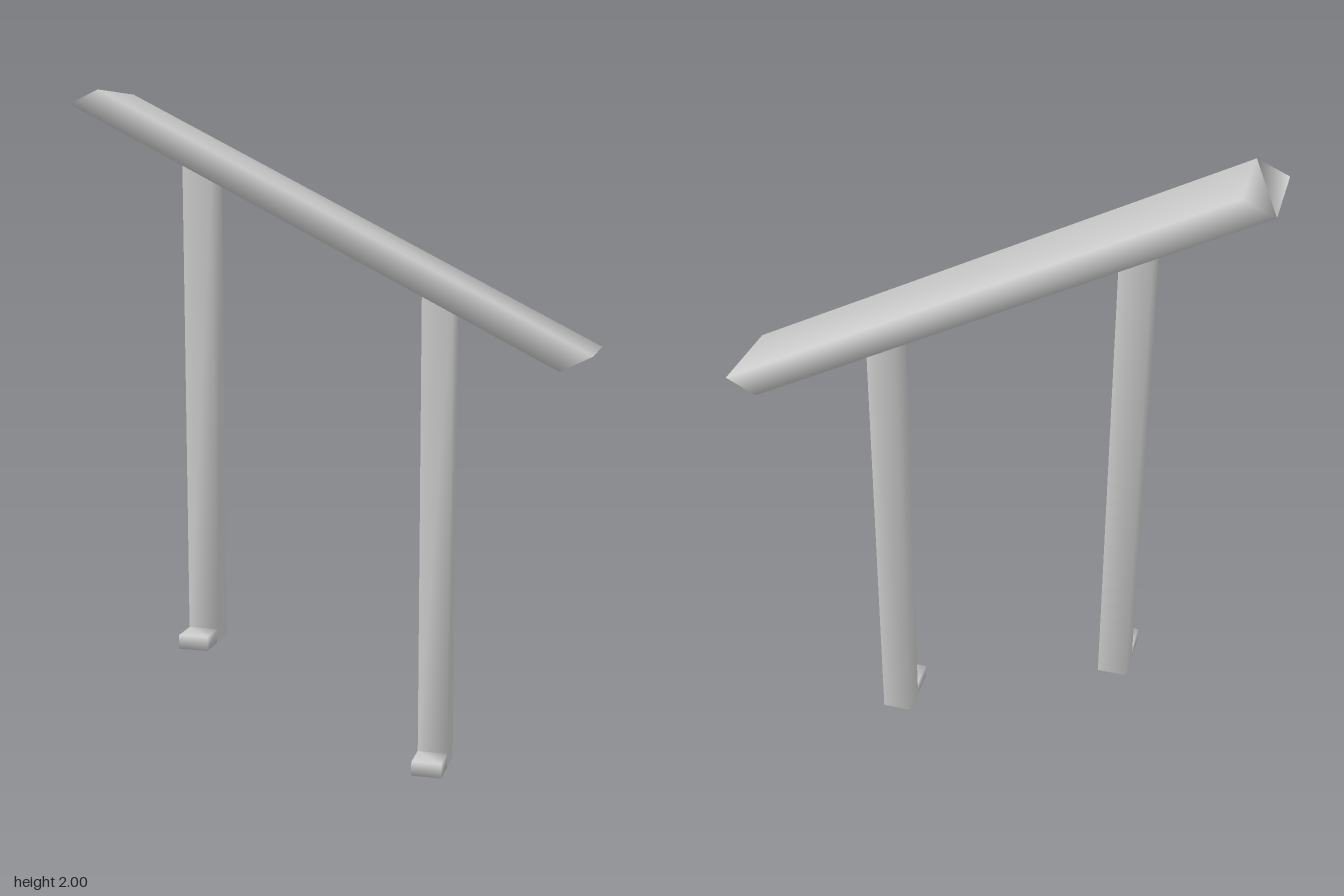
import * as THREE from 'three';
import { mergeVertices } from 'three/addons/utils/BufferGeometryUtils.js';

const material = new THREE.MeshStandardMaterial({ color: 0xcccccc });

// Four-sided outline in x/y, extruded from z0 to z1, with soft shared normals
function block(name, corners, z0, z1) {
  const shape = new THREE.Shape(corners.map(([x, y]) => new THREE.Vector2(x, y)));
  let geometry = new THREE.ExtrudeGeometry(shape, { depth: z1 - z0, bevelEnabled: false });
  geometry.translate(0, 0, z0);
  geometry.deleteAttribute('uv');
  geometry.deleteAttribute('normal');
  geometry = mergeVertices(geometry, 1e-4);
  geometry.computeVertexNormals();
  const mesh = new THREE.Mesh(geometry, material);
  mesh.name = name;
  return mesh;
}

// Height of the sloping underside of the rail
const underside = (x) => 1.96 - 0.514 * (x + 0.77);

export function createModel() {
  const group = new THREE.Group();
  group.name = 'handrail';

  // Sloping rail with slanted ends
  group.add(block('rail', [
    [-0.77, 1.96], [0.68, underside(0.68)], [0.77, 1.26], [-0.68, 2.0],
  ], -0.135, 0.135));

  // Square posts, cut to the slope, each with a small foot at the front
  const half = 0.045;
  for (const [side, x, base] of [['upper', -0.41, 0.33], ['lower', 0.315, 0]]) {
    const a = x - half, b = x + half;
    group.add(block(side + 'Post', [
      [a, base], [b, base], [b, underside(b)], [a, underside(a)],
    ], -half, half));
    group.add(block(side + 'Foot', [
      [a, base], [b, base], [b, base + 0.043], [a, base + 0.043],
    ], half, 0.135));
  }
  return group;
}
